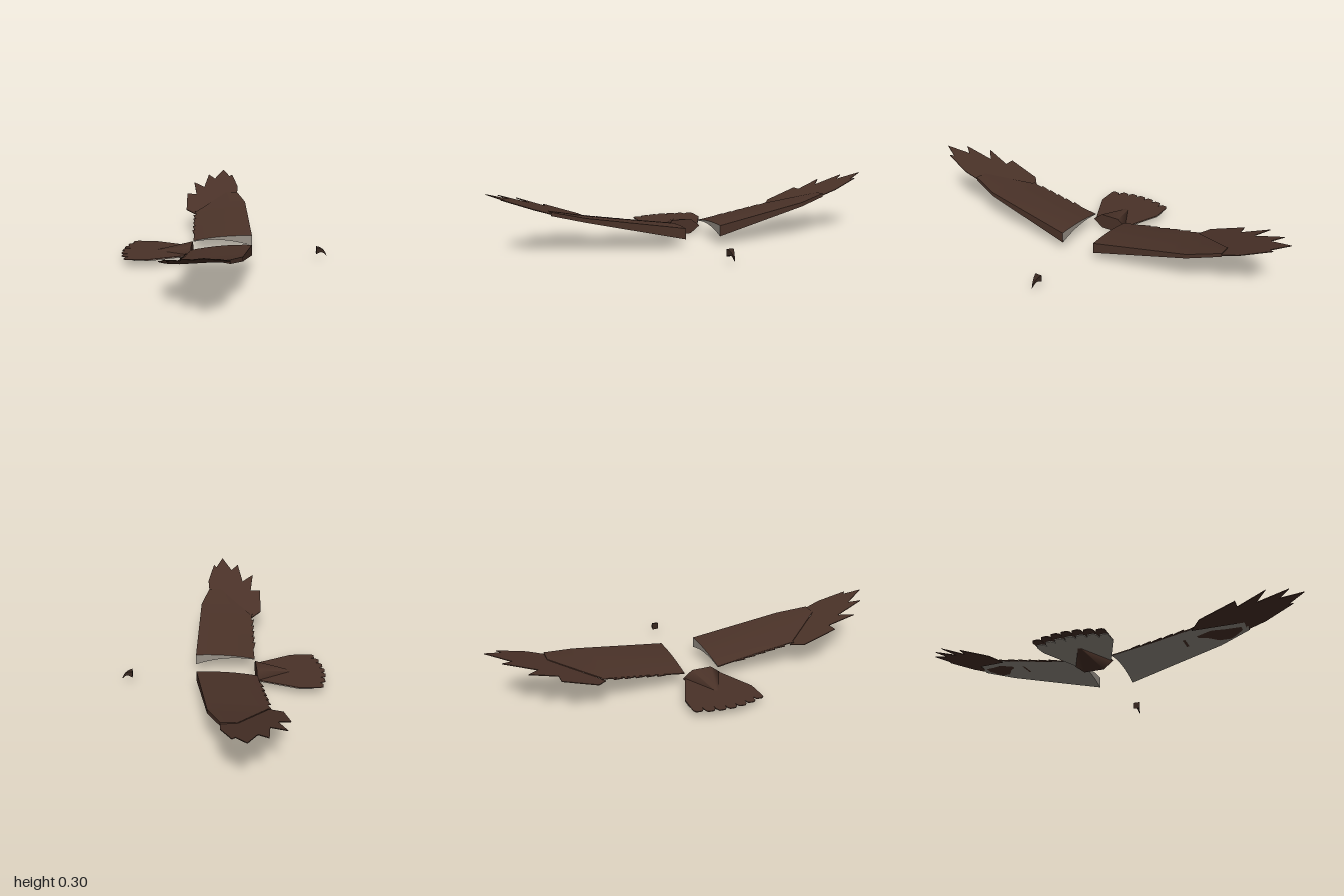
import * as THREE from 'three';

const brown = new THREE.MeshStandardMaterial({ name: 'feather brown', color: 0x4a3228, side: THREE.DoubleSide });
const beige = new THREE.MeshStandardMaterial({ name: 'under feather beige', color: 0x999288, side: THREE.DoubleSide });
const horn = new THREE.MeshStandardMaterial({ name: 'beak brown', color: 0x38271f });

// piecewise linear curve through [position, value] pairs
const curve = (...pts) => (t) => {
  let i = 1;
  while (i < pts.length - 1 && t > pts[i][0]) i++;
  const [a, b] = [pts[i - 1], pts[i]];
  return a[1] + ((b[1] - a[1]) * (t - a[0])) / (b[0] - a[0]);
};
const lerp = THREE.MathUtils.lerp;

// grid surface from a function of u and v
function surface(fn, nu, nv) {
  const geo = new THREE.PlaneGeometry(1, 1, nu, nv);
  const p = geo.attributes.position;
  for (let i = 0; i < p.count; i++) p.setXYZ(i, ...fn(p.getX(i) + 0.5, p.getY(i) + 0.5));
  geo.computeVertexNormals();
  return geo;
}

// thin plate from an [x, z] outline, its top following yFn
function plate(outline, yFn, thick) {
  const shape = new THREE.Shape(outline.map(([x, z]) => new THREE.Vector2(x, z)));
  const geo = new THREE.ExtrudeGeometry(shape, { depth: thick, bevelEnabled: false });
  geo.rotateX(Math.PI / 2);
  const p = geo.attributes.position;
  for (let i = 0; i < p.count; i++) p.setY(i, p.getY(i) + yFn(p.getX(i), p.getZ(i)));
  geo.computeVertexNormals();
  return geo;
}

// mirrored copy across z = 0 with corrected corner order
function mirrorZ(source) {
  const geo = source.index ? source.toNonIndexed() : source.clone();
  for (const name of ['position', 'normal']) {
    const a = geo.attributes[name];
    for (let i = 0; i < a.count; i += 3) {
      const c = [0, 2, 1].map((k) => [a.getX(i + k), a.getY(i + k), -a.getZ(i + k)]);
      c.forEach((v, k) => a.setXYZ(i + k, ...v));
    }
  }
  return geo;
}

// wing form along the span
const Z0 = 0.09, Z1 = 0.72;
const lead = curve([Z0, 0.14], [0.57, 0.1], [Z1, 0.05]);
const trail = curve([Z0, -0.165], [0.3, -0.168], [0.5, -0.18], [Z1, -0.02]);
const leadTop = curve([Z0, 0.1], [0.57, 0.178], [Z1, 0.208]);
const leadLow = curve([Z0, 0.046], [0.57, 0.157], [Z1, 0.19]);
const trailY = curve([Z0, 0.065], [0.5, 0.128], [0.57, 0.15], [Z1, 0.198]);
const camber = curve([Z0, 0.02], [Z1, 0.002]);
const spanZ = (v) => lerp(Z0, Z1, v);
const chordX = (u, z) => lerp(trail(z), lead(z), u);
const under = (u, z) => lerp(trailY(z), leadLow(z), u) + camber(z) * 4 * u * (1 - u);
const over = (u, z) => lerp(trailY(z) + 0.005, leadTop(z), u) + camber(z) * 1.8 * u * (1 - u);
const underAtX = (x, z) => under((x - trail(z)) / (lead(z) - trail(z)), z);
const featherY = (x, z) => 0.2 + 0.343 * (z - 0.72);

function wingParts() {
  const parts = [];
  const add = (name, geo, mat) => parts.push([name, geo, mat]);
  add('wingTop', surface((u, v) => [chordX(1 - u, spanZ(v)), over(1 - u, spanZ(v)), spanZ(v)], 8, 42), brown);
  add('wingUnderside', surface((u, v) => [chordX(u, spanZ(v)), under(u, spanZ(v)), spanZ(v)], 8, 42), beige);
  add('wingLeadingEdge', surface((u, v) => [lead(spanZ(v)), lerp(under(1, spanZ(v)), over(1, spanZ(v)), u), spanZ(v)], 1, 42), brown);
  add('wingTrailingEdge', surface((u, v) => [trail(spanZ(u)), lerp(under(0, spanZ(u)), over(0, spanZ(u)), v), spanZ(u)], 42, 1), brown);
  add('wingRoot', surface((u, v) => [chordX(1 - u, Z0), lerp(under(1 - u, Z0), over(1 - u, Z0), v), Z0], 8, 1), beige);
  add('wingEnd', surface((u, v) => [chordX(u, Z1), lerp(under(u, Z1), over(u, Z1), v), Z1], 8, 1), brown);

  // fanned flight feathers at the tip
  add('tipFeathers', plate([
    [0.05, 0.71], [0.053, 0.8], [0.015, 0.94], [0, 0.92], [-0.04, 1], [-0.09, 0.89], [-0.13, 0.94],
    [-0.15, 0.79], [-0.215, 0.845], [-0.192, 0.71], [-0.247, 0.71], [-0.238, 0.54], [-0.18, 0.49], [-0.03, 0.71],
  ], featherY, 0.004), brown);

  // short feather tips along the trailing edge
  for (let i = 0; i < 6; i++) {
    const a = 0.18 + i * 0.055, b = a + 0.055;
    add('trailingFeather', plate([[trail(a) + 0.004, a], [trail(b) - 0.004, a + 0.01], [trail(b) - 0.014, b], [trail(b) + 0.004, b]],
      (x, z) => trailY(z) + 0.004, 0.004), brown);
  }

  // dark markings under the wing
  const marking = (z0, z1, from, to) => surface((u, v) => {
    const z = lerp(z0, z1, v), x = lerp(from(z), to(z), u);
    return [x, underAtX(x, z) - 0.002, z];
  }, 6, 12);
  add('underwingPatch', marking(0.49, 0.69,
    curve([0.49, -0.08], [0.56, -0.085], [0.62, -0.04], [0.69, 0]),
    curve([0.49, -0.06], [0.53, -0.02], [0.57, 0.045], [0.63, 0.07], [0.69, 0.03])), brown);
  add('underwingStreak', marking(0.42, 0.432, () => -0.08, () => 0), brown);
  return parts;
}

// tail outline with seven rounded feather ends
function tailOutline(shorten) {
  const pts = [[-0.17, -0.09], [-0.365, -0.174]];
  for (let i = -3; i <= 3; i++) {
    const x = -0.52 + 0.0035 * i * i + shorten, z = i * 0.051;
    pts.push([x + 0.022, z - 0.025], [x + 0.003, z - 0.017], [x, z + 0.01], [x + 0.012, z + 0.022]);
    if (i < 3) pts.push([x + 0.035, z + 0.0245]);
  }
  pts.push([-0.365, 0.174], [-0.17, 0.09]);
  return pts;
}

export function createModel() {
  const model = new THREE.Group();
  const add = (name, geo, mat, parent = model) => {
    const mesh = new THREE.Mesh(geo, mat);
    mesh.name = name;
    parent.add(mesh);
  };

  // wings
  const left = new THREE.Group(), right = new THREE.Group();
  left.name = 'frontWing';
  right.name = 'backWing';
  for (const [name, geo, mat] of wingParts()) {
    add(name, geo, mat, left);
    add(name, mirrorZ(geo), mat, right);
  }
  model.add(left, right);

  // tail fan, pale below with dark tips
  add('tailFeathers', plate(tailOutline(0), () => 0.044, 0.004), brown);
  add('tailUnderside', plate(tailOutline(0.045), () => 0.04, 0.004), beige);

  // tapering tail base
  const base = new THREE.CylinderGeometry(0.1, 0.01, 0.185, 6);
  base.rotateZ(-Math.PI / 2).scale(1, 0.45, 1).translate(-0.2575, 0.039, 0);
  add('tailBase', base, brown);

  // hooked beak narrowing to its tip
  const profile = new THREE.Shape();
  profile.moveTo(0.465, 0.033);
  profile.quadraticCurveTo(0.485, 0.05, 0.502, 0.038);
  profile.lineTo(0.519, 0.021);
  profile.quadraticCurveTo(0.507, 0.064, 0.465, 0.068);
  const beak = new THREE.ExtrudeGeometry(profile, { depth: 0.034, bevelEnabled: false, curveSegments: 6 });
  beak.translate(0, 0, -0.017);
  const p = beak.attributes.position;
  for (let i = 0; i < p.count; i++) p.setZ(i, p.getZ(i) * Math.max(0.04, (0.52 - p.getX(i)) / 0.055));
  beak.computeVertexNormals();
  add('beak', beak, horn);

  return model;
}
